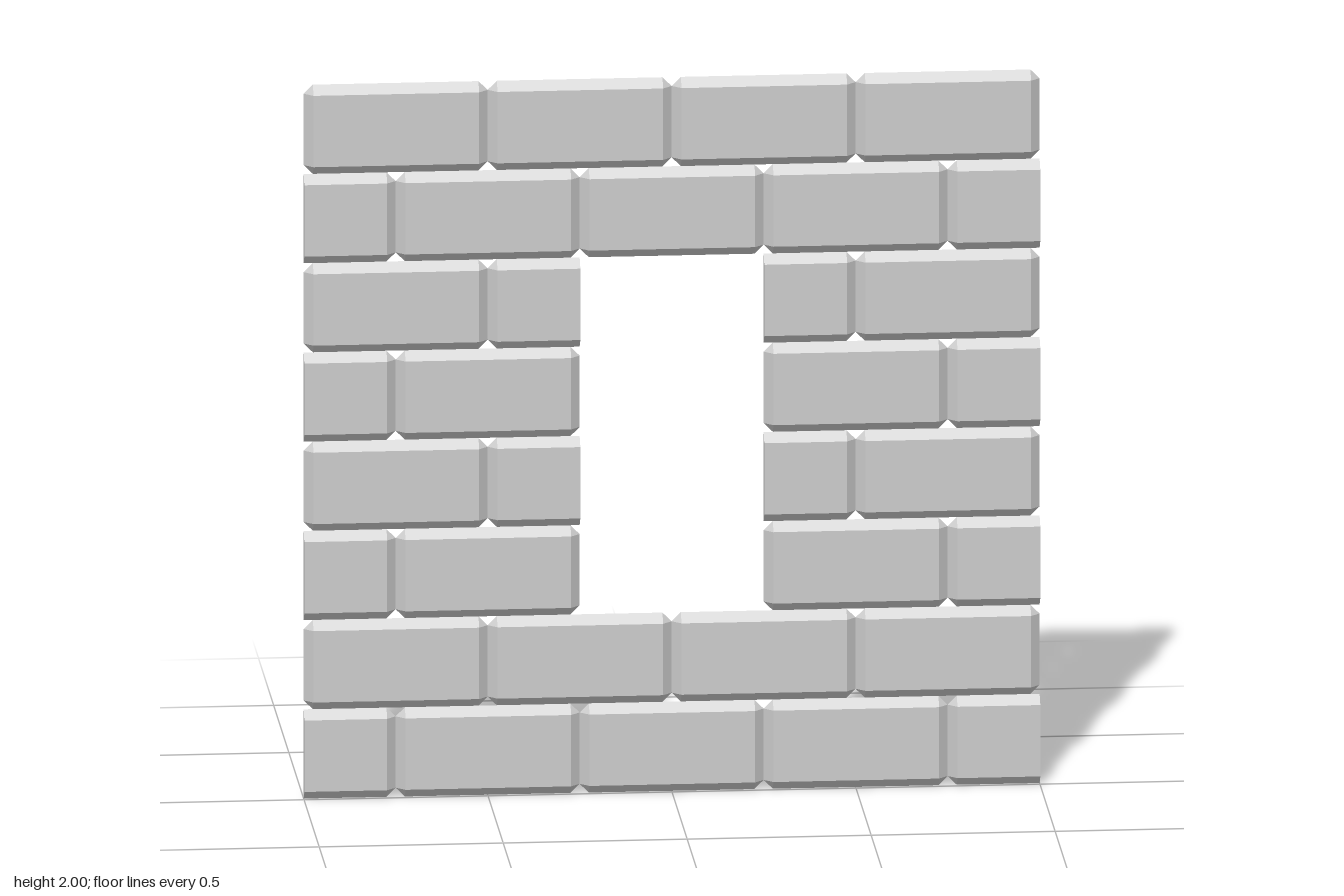
import * as THREE from 'three';
import { ConvexGeometry } from 'three/addons/geometries/ConvexGeometry.js';

const BRICK = 0.5, ROW = 0.25, BEVEL = 0.025, BACK = -0.0125, FRONT = 0.0125;
const OPENING = { x: 0.25, firstRow: 2, lastRow: 5 };

// One brick with a flat back and bevelled front; a sawn end is left square.
function brickGeometry(width, sawnLeft, sawnRight) {
  const points = [];
  for (const side of [-1, 1]) {
    const sawn = side < 0 ? sawnLeft : sawnRight;
    const outer = side * width / 2;
    const inner = sawn ? outer : outer - side * BEVEL;
    for (const v of [-1, 1]) {
      const edge = v * ROW / 2, inset = edge - v * BEVEL;
      points.push(new THREE.Vector3(inner, edge, BACK), new THREE.Vector3(inner, inset, FRONT));
      if (!sawn) points.push(new THREE.Vector3(outer, inset, BACK));
    }
  }
  return new ConvexGeometry(points);
}

export function createModel() {
  const wall = new THREE.Group();
  wall.name = 'brickWallWithWindowOpening';
  const material = new THREE.MeshStandardMaterial({ color: 0xcccccc, flatShading: true });

  for (let row = 0; row < 8; row++) {
    const course = new THREE.Group();
    course.name = `course${row + 1}`;
    course.position.y = (row + 0.5) * ROW;

    // Courses alternate by half a brick and are interrupted by the opening.
    const open = row >= OPENING.firstRow && row <= OPENING.lastRow;
    const spans = open ? [[-1, -OPENING.x], [OPENING.x, 1]] : [[-1, 1]];
    const start = row % 2 === 0 ? -1.25 : -1;

    for (const [from, to] of spans) {
      for (let left = start; left < 1; left += BRICK) {
        const right = left + BRICK;
        const a = Math.max(left, from), b = Math.min(right, to);
        if (b <= a) continue;
        const brick = new THREE.Mesh(brickGeometry(b - a, a > left, b < right), material);
        brick.name = b - a < BRICK ? 'halfBrick' : 'brick';
        brick.position.x = (a + b) / 2;
        course.add(brick);
      }
    }
    wall.add(course);
  }
  return wall;
}
